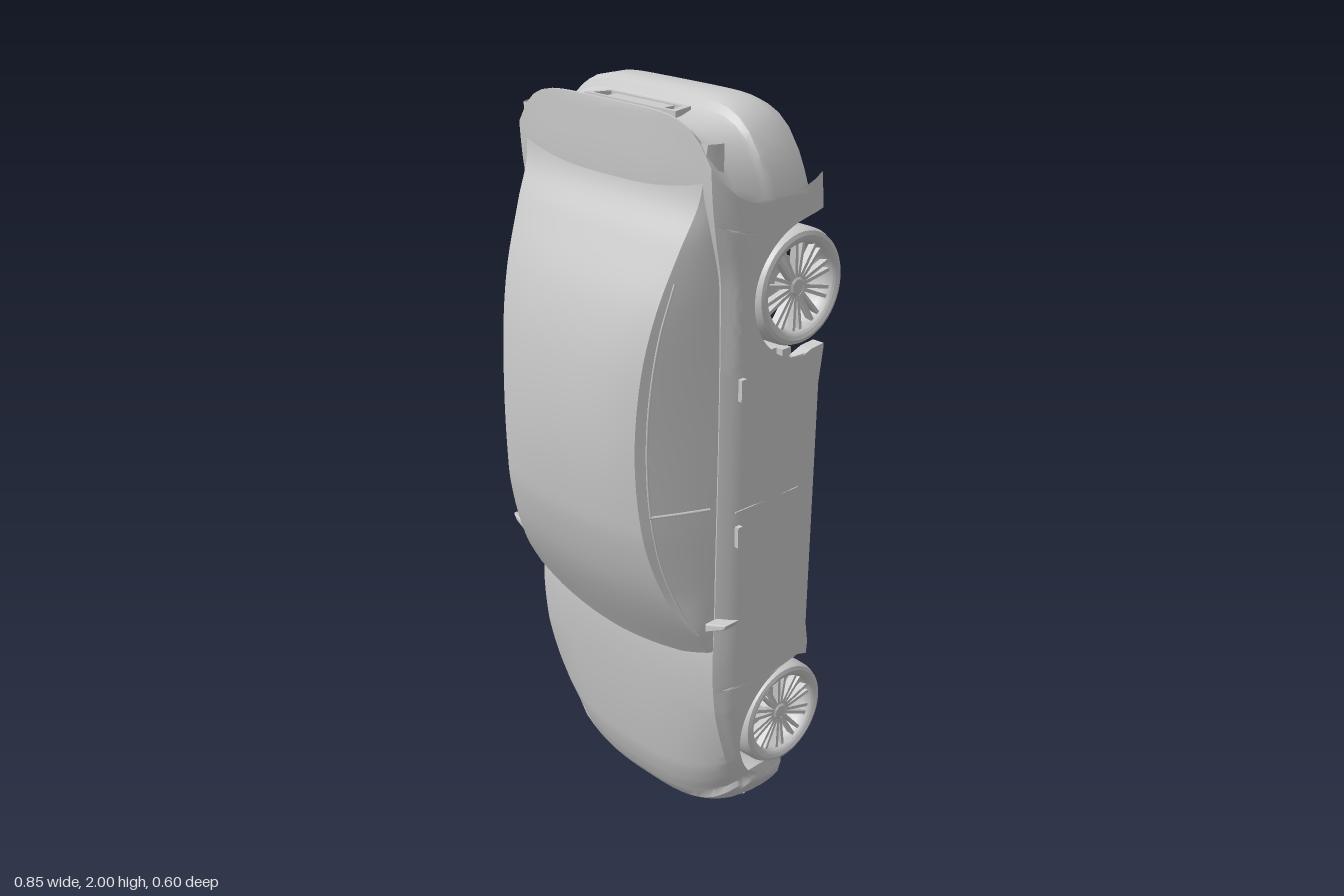
import * as THREE from 'three';
import { toCreasedNormals } from 'three/addons/utils/BufferGeometryUtils.js';

// The car stands on its nose: x = width, y = length (nose at 0), z = height.
const grey = new THREE.MeshStandardMaterial({ color: 0xcccccc, side: THREE.DoubleSide });
const AXLES = [0.36, 1.555], WHEEL_Z = -0.155, ARCH = 0.167;

function mesh(name, geo, parent, x = 0, y = 0, z = 0) {
  const m = new THREE.Mesh(geo, grey);
  m.name = name;
  m.position.set(x, y, z);
  parent.add(m);
  return m;
}
const box = (name, parent, w, l, h, x, y, z) => mesh(name, new THREE.BoxGeometry(w, l, h), parent, x, y, z);

// smooth lookup in a short list of [position, value]
function lookup(t, list) {
  if (t <= list[0][0]) return list[0][1];
  const n = list.length - 1;
  if (t >= list[n][0]) return list[n][1];
  let i = 0;
  while (t > list[i + 1][0]) i++;
  const slope = (k) => {
    const a = list[Math.max(k - 1, 0)], b = list[Math.min(k + 1, n)];
    return (b[1] - a[1]) / (b[0] - a[0]);
  };
  const [x0, y0] = list[i], [x1, y1] = list[i + 1], h = x1 - x0, s = (t - x0) / h;
  return y0 + (y1 - y0) * s * s * (3 - 2 * s) + h * s * (1 - s) * (slope(i) * (1 - s) - slope(i + 1) * s);
}

// surface through rows of equally many points
function loft(rows, crease = 0.5) {
  const n = rows[0].length, index = [];
  for (let i = 0; i < rows.length - 1; i++) for (let j = 0; j < n - 1; j++) {
    const a = i * n + j, b = a + n;
    index.push(a, a + 1, b, b, a + 1, b + 1);
  }
  const g = new THREE.BufferGeometry();
  g.setAttribute('position', new THREE.Float32BufferAttribute(rows.flat(2), 3));
  g.setIndex(index);
  return toCreasedNormals(g, crease);
}

// rounds nose and tail in plan
function bow(x, y) {
  const u = Math.abs(x) / 0.375;
  return y + 0.19 * u ** 3 * Math.max(0, 1 - y / 0.45) - 0.2 * u ** 6 * Math.max(0, (y - 1.5) / 0.5) ** 2;
}

// lower edge of the body with round wheel arches
function lowerEdge(y) {
  let z = lookup(y, [[0, -0.215], [0.2, -0.22], [1.4, -0.22], [1.73, -0.22], [1.88, -0.185], [1.98, -0.145]]);
  for (const a of AXLES) {
    const d = Math.abs(y - a);
    if (d < ARCH) z = Math.max(z, WHEEL_Z + Math.sqrt(ARCH * ARCH - d * d));
  }
  return z;
}

const DECK = [[0.08, 0.025], [0.13, 0.047], [0.2, 0.068], [0.4, 0.1], [0.58, 0.115], [0.75, 0.108], [1.6, 0.112],
  [1.75, 0.13], [1.85, 0.137], [1.97, 0.138]];
const SIDE = [[0, 0.965], [0.15, 0.985], [0.45, 1], [0.7, 0.995], [0.88, 0.965], [1, 0.9]];

function bodyRow(y, top) {
  const w = 0.378, half = [], deck = lookup(y, DECK);
  const shoulder = deck - lookup(y, [[0.05, 0.04], [0.6, 0.022], [1.7, 0.022], [1.97, 0.012]]);
  for (let j = 0; j <= 12; j++) {
    const f0 = j / 12, edge = lowerEdge(bow(w, y));
    const z = edge + (shoulder - edge) * f0;
    const x = w * lookup((z + 0.22) / (shoulder + 0.22), SIDE);
    half.push([x, bow(x, y), Math.max(Math.min(z, top), Math.min(edge, z))]);
  }
  for (let j = 1; j <= 10; j++) {
    const x = 0.9 * w * (1 - j / 10), u = x / (0.9 * w);
    half.push([x, bow(x, y), Math.min(top, deck - (deck - shoulder) * u ** 3)]);
  }
  return [...half, ...half.slice(0, -1).reverse().map(([x, a, b]) => [-x, a, b])];
}

function addBody(car) {
  const nose = [[0.1, -0.215], [0.05, -0.218], [0.02, -0.208], [0.006, -0.18], [0, -0.14], [0.002, -0.1], [0.012, -0.06],
    [0.03, -0.025], [0.05, 0.003]];
  const tail = [[1.985, 0.136], [1.985, 0.128], [1.955, 0.1], [1.952, 0.07], [1.962, 0], [1.97, -0.015],
    [1.99, -0.025], [2, -0.045], [2, -0.11], [1.993, -0.135], [1.982, -0.155]];
  const rows = nose.map(([y, z]) => bodyRow(y, z));
  for (let y = 0.08; y < 1.975; y += 0.0075) rows.push(bodyRow(y, 1));
  rows.push(...tail.map(([y, z]) => bodyRow(y, z)));
  mesh('bodyShell', loft(rows), car);
}

// greenhouse: roof with both screens, and side windows
const ROOF = [[0.57, 0.108], [0.7, 0.182], [0.8, 0.23], [0.9, 0.264], [1, 0.286], [1.2, 0.3], [1.4, 0.286],
  [1.55, 0.25], [1.7, 0.185], [1.8, 0.137], [1.93, 0.128]];
const EDGE = [[0.57, 0.335], [0.65, 0.325], [0.8, 0.285], [1, 0.26], [1.2, 0.25], [1.4, 0.258], [1.6, 0.28],
  [1.76, 0.303], [1.93, 0.325]];
const BELT_Z = 0.085;
const cabinY = (x, y) => y + 0.07 * (x / 0.33) ** 2 * Math.max(0, 1 - (y - 0.57) / 0.5);
function roofEdge(y) {
  const x = lookup(y, EDGE), top = lookup(y, ROOF);
  return [x, cabinY(x, y), BELT_Z + (top - BELT_Z) * 0.88];
}
function windowPoint(y, f) {
  const [ex, ey, ez] = roofEdge(y);
  return [0.338 + (ex - 0.338) * f + 0.012 * f * (1 - f), ey, BELT_Z + (ez - BELT_Z) * f];
}

function tube(name, points, r, parent) {
  const curve = new THREE.CatmullRomCurve3(points.map((p) => new THREE.Vector3(...p)));
  mesh(name, new THREE.TubeGeometry(curve, 40, r, 6), parent);
}

function addCabin(car) {
  const roof = [], sides = [[], []];
  for (let i = 0; i <= 68; i++) {
    const y = 0.57 + i * 0.02, [ex, , ez] = roofEdge(y), top = lookup(y, ROOF), row = [];
    for (let j = -10; j <= 10; j++) {
      const u = j / 10, x = ex * u;
      row.push([x, cabinY(x, y), top - (top - ez) * Math.abs(u) ** 3]);
    }
    roof.push(row);
    const strip = [0, 0.25, 0.5, 0.75, 1].map((f) => windowPoint(y, f));
    sides[0].push(strip);
    sides[1].push(strip.map(([x, a, b]) => [-x, a, b]).reverse());
  }
  mesh('roofAndScreens', loft(roof), car);
  for (const s of [1, -1]) {
    mesh('sideWindows', loft(sides[s > 0 ? 0 : 1]), car);
    const flip = ([x, y, z]) => [s * x, y, z];
    const ys = [0.64, 0.75, 0.9, 1.05, 1.2, 1.35, 1.5, 1.62];
    tube('windowFrame', ys.map((y) => flip(windowPoint(y, 0.86))), 0.003, car);
    tube('doorPillar', [0.1, 0.5, 0.88].map((f) => flip(windowPoint(1.04, f))), 0.004, car);
  }
}

function addWheel(car, s, y) {
  const wheel = new THREE.Group();
  wheel.name = 'wheel';
  wheel.position.set(s * 0.311, y, WHEEL_Z);
  if (s < 0) wheel.rotation.y = Math.PI;
  const turned = (name, pts) => mesh(name, toCreasedNormals(new THREE.LatheGeometry(
    pts.map(([r, a]) => new THREE.Vector2(r, a)), 48).rotateZ(-Math.PI / 2), 0.6), wheel);
  turned('tyre', [[0.113, -0.053], [0.128, -0.06], [0.138, -0.056], [0.144, -0.042], [0.145, -0.02], [0.145, 0.02],
    [0.144, 0.042], [0.138, 0.056], [0.128, 0.06], [0.113, 0.053]]);
  turned('rim', [[0.113, 0.053], [0.118, 0.057], [0.11, 0.05], [0.104, 0.03], [0.1, -0.03], [0.108, -0.05], [0.113, -0.053]]);
  turned('hub', [[0, 0.045], [0.018, 0.045], [0.03, 0.036], [0.03, -0.02], [0, -0.02]]);
  turned('brakeDisc', [[0.02, -0.005], [0.065, -0.005], [0.065, -0.012], [0.02, -0.012]]);
  for (let i = 0; i < 10; i++) for (const d of [-1, 1]) {
    const spoke = new THREE.BoxGeometry(0.018, 0.085, 0.009);
    spoke.rotateZ(-0.06).rotateX(d * 0.09).translate(0.035, 0.066, d * 0.008).rotateX(i * Math.PI / 5);
    mesh('spoke', spoke, wheel);
  }
  car.add(wheel);
}

function addSides(car) {
  // sill with flared ends, drawn in (z, y)
  const sill = new THREE.Shape([[-0.15, 0.55], [-0.19, 0.535], [-0.225, 0.525], [-0.228, 0.56], [-0.218, 0.62],
    [-0.222, 1.3], [-0.235, 1.39], [-0.235, 1.4], [-0.19, 1.395], [-0.15, 1.38]].map((p) => new THREE.Vector2(...p)));
  const mirrorShape = new THREE.Shape([[0.352, 0.722], [0.41, 0.752], [0.42, 0.765], [0.405, 0.757], [0.352, 0.738]]
    .map((p) => new THREE.Vector2(...p)));
  for (const s of [1, -1]) {
    const g = new THREE.ExtrudeGeometry(sill, { depth: 0.035, bevelEnabled: false });
    mesh('sill', g.rotateY(-Math.PI / 2), car, s > 0 ? 0.374 : -0.339);
    const pod = mesh('doorMirror', new THREE.ExtrudeGeometry(mirrorShape,
      { depth: 0.036, bevelSize: 0.004, bevelThickness: 0.004, bevelSegments: 2 }), car, 0, 0, 0.09);
    pod.scale.x = s;
    const arm = box('mirrorArm', car, 0.05, 0.014, 0.012, s * 0.34, 0.72, 0.1);
    arm.rotation.z = s * 0.5;
    for (const y of [0.965, 1.35]) box('doorHandle', car, 0.012, 0.055, 0.016, s * 0.374, y, 0.045);
    box('doorSeam', car, 0.003, 0.004, 0.22, s * 0.3765, 1.035, -0.05);
  }
}

function addUnderside(car) {
  box('floor', car, 0.68, 0.66, 0.03, 0, 0.87, -0.165);
  box('firewall', car, 0.64, 0.02, 0.24, 0, 0.545, -0.06);
  box('rearSeatBox', car, 0.5, 0.2, 0.08, 0, 1.29, -0.175);
  box('rearFloor', car, 0.68, 0.22, 0.03, 0, 1.29, -0.14);
  box('rearBulkhead', car, 0.64, 0.02, 0.18, 0, 1.39, -0.06);
  box('bootFloor', car, 0.56, 0.44, 0.02, 0, 1.61, 0.03);
  for (const s of [1, -1]) box('floorPad', car, 0.17, 0.24, 0.02, s * 0.14, 0.86, -0.186);
}

function addEnds(car) {
  // number plate recess frame and plate at the tail, bar across the nose
  const frame = new THREE.Shape([[-0.16, -0.065], [0.16, -0.065], [0.14, 0.002], [-0.14, 0.002]]
    .map((p) => new THREE.Vector2(...p)));
  frame.holes.push(new THREE.Path([[-0.125, -0.01], [0.125, -0.01], [0.14, -0.055], [-0.14, -0.055]]
    .map((p) => new THREE.Vector2(...p))));
  const g = new THREE.ExtrudeGeometry(frame, { depth: 0.015, bevelEnabled: false });
  mesh('plateFrame', g.rotateX(-Math.PI / 2), car, 0, 1.955, 0);
  box('plate', car, 0.2, 0.01, 0.042, 0, 1.962, 0.034);
  const bar = [-0.28, -0.2, -0.1, 0, 0.1, 0.2, 0.28];
  for (const z of [-0.1, -0.175]) tube('noseBar', bar.map((x) => [x, bow(x, 0.008), z]), 0.006, car);
}

export function createModel() {
  const car = new THREE.Group();
  car.name = 'car';
  addBody(car);
  addCabin(car);
  for (const y of AXLES) for (const s of [1, -1]) addWheel(car, s, y);
  addSides(car);
  addUnderside(car);
  addEnds(car);
  return car;
}
